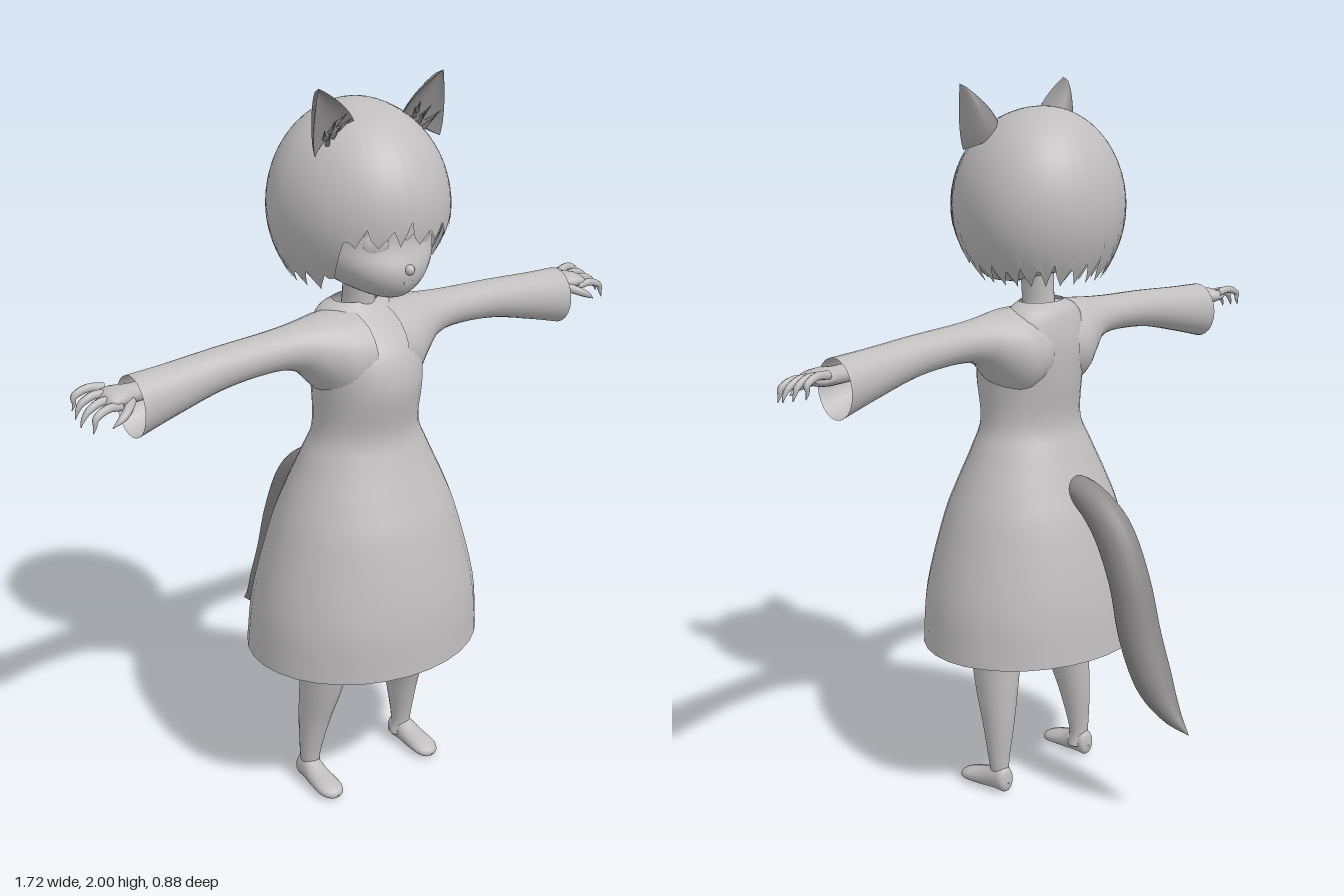
import * as THREE from 'three';

const light = new THREE.MeshStandardMaterial({ color: 0xbfbdbd, side: THREE.DoubleSide });
light.name = 'light grey';
const dark = new THREE.MeshStandardMaterial({ color: 0x8a8888, side: THREE.DoubleSide });
dark.name = 'dark grey';

// Grid surface from a rule fn(u, v) -> Vector3; closed wraps around u
function surface(fn, nu, nv, closed) {
  const pos = [], idx = [], cols = closed ? nu : nu + 1;
  for (let i = 0; i <= nv; i++)
    for (let j = 0; j < cols; j++) pos.push(...fn(j / nu, i / nv).toArray());
  for (let i = 0; i < nv; i++)
    for (let j = 0; j < nu; j++) {
      const a = i * cols + j, b = i * cols + (j + 1) % cols;
      idx.push(a, b, a + cols, b, b + cols, a + cols);
    }
  const g = new THREE.BufferGeometry();
  g.setAttribute('position', new THREE.Float32BufferAttribute(pos, 3));
  g.setIndex(idx);
  g.computeVertexNormals();
  return g;
}

// Smooth loft through elliptical sections [x, y, z, radius along ref, other radius]
function loft(rows, ref, axis, sides = 24, steps = 5) {
  const path = new THREE.CatmullRomCurve3(rows.map(r => new THREE.Vector3(r[0], r[1], r[2])), false, 'catmullrom');
  const size = new THREE.CatmullRomCurve3(rows.map(r => new THREE.Vector3(r[3], r[4], 0)), false, 'catmullrom');
  return surface((u, v) => {
    const T = axis ? axis.clone() : path.getTangent(v);
    const U = ref.clone().addScaledVector(T, -T.dot(ref)).normalize();
    const V = T.clone().cross(U), s = size.getPoint(v), a = u * Math.PI * 2;
    return path.getPoint(v).addScaledVector(U, s.x * Math.cos(a)).addScaledVector(V, s.y * Math.sin(a));
  }, sides, (rows.length - 1) * steps, true);
}

const X = new THREE.Vector3(1, 0, 0), Y = new THREE.Vector3(0, 1, 0), Z = new THREE.Vector3(0, 0, 1);
const hash = n => { const s = Math.sin(n * 12.9898) * 43758.5453; return s - Math.floor(s); };

// Bobbed hair: dome with a fringe in front and pointed strands along its edge
function hairShell(scale, strands, phase, lift) {
  return surface((u, v) => {
    const th = -u * Math.PI * 2, d = Math.acos(Math.cos(th));
    const ramp = THREE.MathUtils.smoothstep(d, 0.72, 1.12);
    const k = u * strands + phase, n = Math.floor(k) % strands, f = Math.abs(k - Math.floor(k) - 0.5) * 2;
    const bottom = 1.615 - ramp * 0.135 + f * (0.03 + 0.035 * hash(n)) + lift;
    const top = 1.67 + 0.268 * scale, y = top - (top - bottom) * v * v;
    const h = (y - 1.67) / (0.268 * scale);
    const r = h > 0 ? Math.sqrt(Math.max(0, 1 - h * h)) : 1 - 8 * (y - 1.67) ** 2;
    const rz = Math.cos(th) > 0 ? 0.272 : 0.21;
    return new THREE.Vector3(0.235 * scale * r * Math.sin(th), y, 0.1 + rz * scale * r * Math.cos(th));
  }, strands * 6, 18, true);
}

export function createModel() {
  const model = new THREE.Group();
  const add = (name, geo, mat = light, parent = model) => {
    const m = new THREE.Mesh(geo, mat);
    m.name = name;
    parent.add(m);
    return m;
  };

  // Dress: [y, front z, back z, half width]
  const dress = [
    [0.44, 0.44, -0.14, 0.34], [0.6, 0.43, -0.122, 0.324], [0.8, 0.383, -0.075, 0.27],
    [0.9, 0.345, -0.038, 0.232], [1.0, 0.305, 0.002, 0.185], [1.08, 0.285, 0.028, 0.152],
    [1.2, 0.304, 0.016, 0.152], [1.29, 0.284, 0.012, 0.16], [1.35, 0.235, 0.02, 0.145],
    [1.395, 0.185, 0.035, 0.11], [1.417, 0.165, 0.06, 0.07]];
  add('dress', loft(dress.map(([y, f, b, w]) => [0, y, (f + b) / 2, w, (f - b) / 2]), X, Y, 32));

  // Neck and head
  add('neck', loft([[0, 1.36, 0.12, 0.05, 0.05], [0, 1.43, 0.125, 0.041, 0.048], [0, 1.53, 0.13, 0.043, 0.052]], X, Y));
  add('head', loft([
    [0, 1.453, 0.25, 0.003, 0.004], [0, 1.463, 0.235, 0.05, 0.06], [0, 1.495, 0.195, 0.11, 0.128],
    [0, 1.54, 0.165, 0.155, 0.165], [0, 1.6, 0.14, 0.188, 0.168], [0, 1.68, 0.125, 0.198, 0.18],
    [0, 1.8, 0.11, 0.165, 0.16], [0, 1.9, 0.1, 0.06, 0.06]], X, Y, 32));
  const nose = add('nose', new THREE.SphereGeometry(0.014, 12, 8));
  nose.position.set(0, 1.54, 0.328);
  const mouth = add('mouth', new THREE.BoxGeometry(0.03, 0.004, 0.008));
  mouth.position.set(0, 1.507, 0.323);

  // Hair in two overlapping layers
  add('hair', hairShell(1, 26, 0.5, 0));
  add('innerHair', hairShell(0.955, 22, 0, 0.012));

  for (const s of [1, -1]) {
    const side = s > 0 ? 'left' : 'right';
    const flip = rows => rows.map(([x, ...rest]) => [x * s, ...rest]);
    const out = new THREE.Vector3(s, 0, 0);

    // Eye
    const eye = add(side + 'Eye', new THREE.SphereGeometry(1, 20, 12));
    eye.scale.set(0.034, 0.029, 0.008);
    eye.position.set(s * 0.078, 1.61, 0.288);
    eye.rotation.y = s * 0.4;

    // Sleeve, flaring at the cuff
    add(side + 'Sleeve', loft(flip([
      [0.05, 1.285, 0.145, 0.115, 0.13], [0.11, 1.283, 0.14, 0.119, 0.122], [0.165, 1.305, 0.138, 0.092, 0.094],
      [0.22, 1.327, 0.138, 0.064, 0.07], [0.3, 1.333, 0.138, 0.052, 0.058], [0.45, 1.325, 0.138, 0.054, 0.054],
      [0.6, 1.302, 0.138, 0.067, 0.06], [0.71, 1.284, 0.138, 0.08, 0.067]]), Y, out));

    // Arm and hand with clawed fingers
    const hand = new THREE.Group();
    hand.name = side + 'Hand';
    model.add(hand);
    add('palm', loft(flip([
      [0.45, 1.33, 0.138, 0.032, 0.032], [0.6, 1.325, 0.138, 0.027, 0.027], [0.7, 1.32, 0.138, 0.024, 0.028],
      [0.745, 1.322, 0.138, 0.024, 0.045], [0.78, 1.322, 0.138, 0.017, 0.048], [0.795, 1.32, 0.138, 0.002, 0.03]]),
      Y, out, 16), light, hand);
    for (let i = 0; i < 4; i++) {
      const o = i - 1.5, z = 0.138 + o * 0.026, reach = 0.862 - Math.abs(o - 0.2) * 0.012, y = 1.322 - o * 0.008;
      add('finger', loft(flip([
        [0.76, y, z, 0.012, 0.012], [0.8, y + 0.006, z + o * 0.005, 0.011, 0.011],
        [0.835, y - 0.008, z + o * 0.008, 0.009, 0.009], [reach - 0.006, y - 0.028, z + o * 0.009, 0.005, 0.005],
        [reach, y - 0.045, z + o * 0.009, 0.001, 0.001]]), Z, null, 8, 3), light, hand);
    }
    add('thumb', loft(flip([
      [0.725, 1.312, 0.165, 0.014, 0.014], [0.75, 1.3, 0.19, 0.012, 0.012], [0.775, 1.288, 0.203, 0.009, 0.009],
      [0.8, 1.272, 0.203, 0.001, 0.001]]), Y, null, 8, 3), light, hand);

    // Leg and foot
    add(side + 'Leg', loft(flip([
      [0.16, 0.03, 0.127, 0.028, 0.028], [0.168, 0.08, 0.127, 0.029, 0.028], [0.16, 0.2, 0.137, 0.043, 0.048],
      [0.15, 0.3, 0.152, 0.056, 0.065], [0.137, 0.42, 0.164, 0.069, 0.079], [0.115, 0.6, 0.155, 0.084, 0.09],
      [0.09, 0.85, 0.14, 0.09, 0.1]]), X, Y, 20));
    add(side + 'Foot', loft(flip([
      [0.17, 0.03, 0.088, 0.002, 0.002], [0.17, 0.036, 0.096, 0.025, 0.034], [0.171, 0.04, 0.13, 0.03, 0.039],
      [0.174, 0.028, 0.18, 0.035, 0.028], [0.175, 0.02, 0.23, 0.037, 0.02], [0.174, 0.015, 0.257, 0.024, 0.013],
      [0.174, 0.013, 0.266, 0.002, 0.002]]), X, Z, 20, 4));

    // Cat ear: shell curved at the back, shallow inner face and tufts
    const ear = new THREE.Group();
    ear.name = side + 'Ear';
    model.add(ear);
    const earRule = (depth, front) => (u, v) => {
      const t = u * 2 - 1, w = 1 - Math.pow(v, 1.5);
      return new THREE.Vector3(
        s * (0.14 + 0.057 * v + t * 0.06 * w), 1.868 + 0.132 * v - t * 0.038 * w,
        front + 0.012 * v - depth * (1 - t * t) * Math.sqrt(w));
    };
    add('earShell', surface(earRule(0.06, 0.202), 16, 12), dark, ear);
    add('earInner', surface(earRule(0.025, 0.202), 12, 12), dark, ear);
    for (let i = 0; i < 6; i++) {
      const tuft = add('earTuft', new THREE.ConeGeometry(0.007, 0.05, 6), dark, ear);
      tuft.position.set(s * (0.11 + 0.013 * i), 1.905 - 0.008 * i + 0.02 * (i % 2), 0.208);
      tuft.rotation.set(0.75, 0, s * (0.5 - 0.2 * i));
    }
  }

  // Tail curving down behind the dress
  add('tail', loft([
    [0, 0.895, 0.03, 0.035, 0.035], [0, 0.895, -0.05, 0.045, 0.042], [0, 0.815, -0.15, 0.053, 0.056],
    [0, 0.68, -0.217, 0.056, 0.058], [0, 0.53, -0.258, 0.058, 0.06], [0, 0.41, -0.31, 0.052, 0.054],
    [0, 0.335, -0.37, 0.03, 0.03], [0, 0.29, -0.435, 0.001, 0.001]], X, null, 20), dark);

  return model;
}
